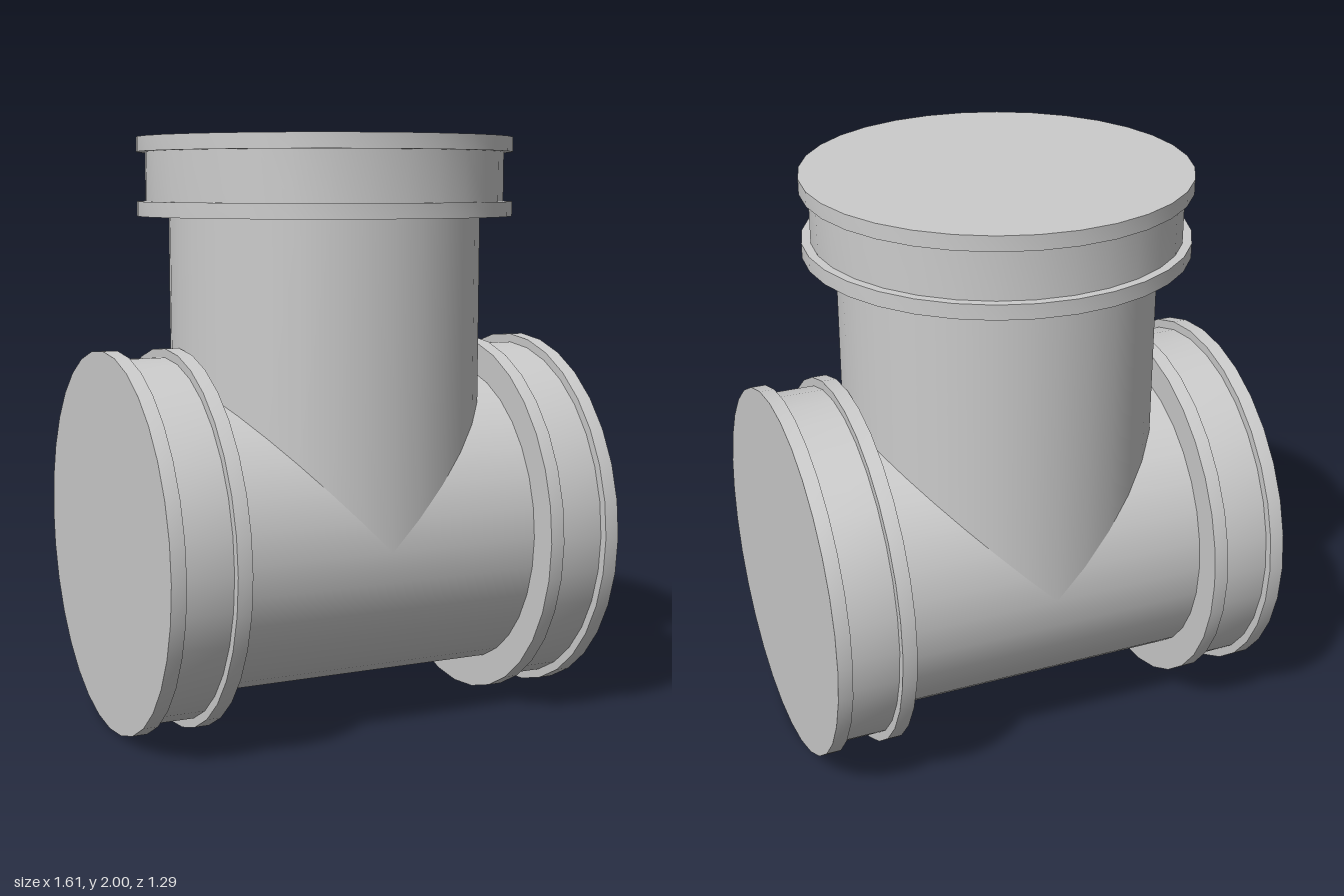
import * as THREE from 'three';
import { toCreasedNormals } from 'three/addons/utils/BufferGeometryUtils.js';

const SIDES = 32;
const AXIS = 0.647;   // height of the main pipe's axis
const PIPE = 0.538;   // pipe radius
const FLANGE = 0.647; // flange radius
const BAND = 0.617;   // recessed band between the flanges
const RUN = 0.54;     // half length of the main pipe between collars
const COLLAR = 0.267; // collar length

const material = new THREE.MeshStandardMaterial({ color: 0xcccccc });

function addMesh(parent, name, geometry) {
  const mesh = new THREE.Mesh(geometry, material);
  mesh.name = name;
  parent.add(mesh);
  return mesh;
}

// Double-flanged collar with a closed end, growing along +y from the pipe's end
function collarGeometry() {
  const profile = [
    [PIPE, 0], [FLANGE, 0], [FLANGE, 0.05], [BAND, 0.05],
    [BAND, COLLAR - 0.05], [FLANGE, COLLAR - 0.05], [FLANGE, COLLAR], [0, COLLAR],
  ].map(([r, y]) => new THREE.Vector2(r, y));
  return toCreasedNormals(new THREE.LatheGeometry(profile, SIDES), Math.PI / 6);
}

// Upright branch whose lower rim is mitred to meet the main pipe of equal radius
function branchGeometry(top) {
  const geometry = new THREE.CylinderGeometry(PIPE, PIPE, 2, SIDES, 1, true);
  const p = geometry.attributes.position;
  for (let i = 0; i < p.count; i++) {
    p.setY(i, p.getY(i) > 0 ? top : AXIS + Math.abs(p.getX(i)));
  }
  return geometry;
}

export function createModel() {
  const model = new THREE.Group();
  model.name = 'pipeTee';

  // Main horizontal pipe
  const run = addMesh(model, 'mainPipe', new THREE.CylinderGeometry(PIPE, PIPE, 2 * RUN, SIDES, 1, true));
  run.rotation.z = Math.PI / 2;
  run.position.y = AXIS;

  // Vertical branch
  const branchTop = 2 - COLLAR;
  addMesh(model, 'branchPipe', branchGeometry(branchTop));

  // Collars on the three ends
  const collar = collarGeometry();
  addMesh(model, 'topCollar', collar).position.y = branchTop;
  for (const [name, side] of [['leftCollar', 1], ['rightCollar', -1]]) {
    const end = addMesh(model, name, collar);
    end.position.set(side * RUN, AXIS, 0);
    end.rotation.z = -side * Math.PI / 2;
  }
  return model;
}
